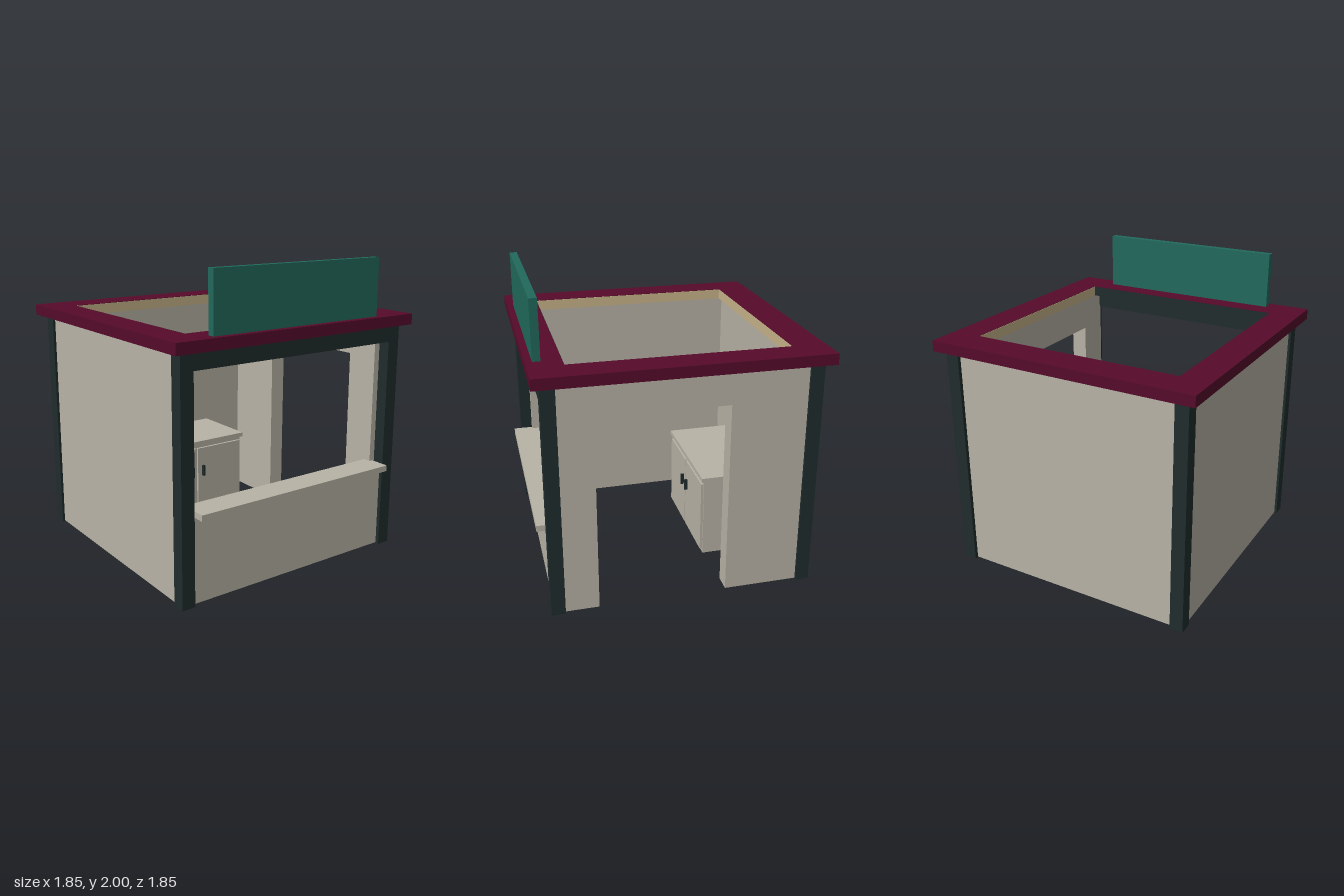
import * as THREE from 'three';

const mat = (name, color) => {
  const m = new THREE.MeshStandardMaterial({ color });
  m.name = name;
  return m;
};

export function createModel() {
  const cream = mat('cream panel', 0xb8b3a6);
  const dark = mat('dark frame', 0x202c2c);
  const maroon = mat('maroon roof', 0x560b2b);
  const teal = mat('teal sign', 0x21695c);
  const tan = mat('tan lining', 0xc8b48a);

  const kiosk = new THREE.Group();
  kiosk.name = 'kiosk';

  // Box given by its extents along each axis
  const box = (name, material, [x0, x1], [y0, y1], [z0, z1], parent = kiosk) => {
    const mesh = new THREE.Mesh(new THREE.BoxGeometry(x1 - x0, y1 - y0, z1 - z0), material);
    mesh.position.set((x0 + x1) / 2, (y0 + y1) / 2, (z0 + z1) / 2);
    mesh.name = name;
    parent.add(mesh);
    return mesh;
  };

  const outer = 0.845, inner = 0.73, top = 1.55;

  // Corner posts and front header
  for (const x of [-0.817, 0.817])
    for (const z of [-0.825, 0.825])
      box('cornerPost', dark, [x - 0.045, x + 0.045], [0, top], [z - 0.045, z + 0.045]);
  box('frontHeader', dark, [-0.772, 0.772], [1.44, top], [0.78, 0.87]);

  // Solid walls
  box('backWall', cream, [-0.79, 0.79], [0.005, top], [-outer, -inner]);
  box('leftOfEntryWall', cream, [-outer, -inner], [0.005, top], [-0.79, 0.79]);
  box('frontLowWall', cream, [-0.79, 0.79], [0.005, 0.56], [inner, outer]);
  box('servingShelf', cream, [-0.757, 0.757], [0.56, 0.60], [0.74, 0.925]);

  // Side wall with the doorway
  const doorway = new THREE.Group();
  doorway.name = 'doorwayWall';
  kiosk.add(doorway);
  box('frontJamb', cream, [inner, outer], [0.005, top], [0.56, 0.79], doorway);
  box('backJamb', cream, [inner, outer], [0.005, top], [-0.79, -0.285], doorway);
  box('lintel', cream, [inner, outer], [1.32, top], [-0.285, 0.56], doorway);

  // Roof ring, open in the middle
  const ring = new THREE.Shape();
  ring.moveTo(-0.923, -0.923).lineTo(0.923, -0.923).lineTo(0.923, 0.923).lineTo(-0.923, 0.923).closePath();
  const hole = new THREE.Path();
  hole.moveTo(-0.72, -0.705).lineTo(-0.72, 0.705).lineTo(0.725, 0.705).lineTo(0.725, -0.705).closePath();
  ring.holes.push(hole);
  const ringGeometry = new THREE.ExtrudeGeometry(ring, { depth: 0.072, bevelEnabled: false });
  ringGeometry.rotateX(-Math.PI / 2);
  const roof = new THREE.Mesh(ringGeometry, maroon);
  roof.position.y = top;
  roof.name = 'roofRing';
  kiosk.add(roof);

  // Lining inside the roof opening
  const lining = [1.55, 1.619];
  box('backLining', tan, [-0.72, 0.725], lining, [-0.706, -0.702]);
  box('leftLining', tan, [0.722, 0.726], lining, [-0.703, 0.703]);
  box('rightLining', tan, [-0.721, -0.717], lining, [-0.703, 0.703]);
  box('frontLining', dark, [-0.717, 0.722], lining, [0.702, 0.706]);

  // Sign board standing on the roof edge
  box('signBoard', teal, [-0.645, 0.635], [1.62, 2], [0.83, 0.88]);

  // Cabinet against the back wall
  const cabinet = new THREE.Group();
  cabinet.name = 'cabinet';
  kiosk.add(cabinet);
  box('cabinetBody', cream, [-0.4, 0.4], [0.005, 0.575], [-0.735, -0.265], cabinet);
  box('cabinetTop', cream, [-0.415, 0.415], [0.575, 0.605], [-0.735, -0.245], cabinet);
  for (const s of [-1, 1]) {
    const span = (a, b) => (s > 0 ? [a, b] : [-b, -a]);
    box('cabinetDoor', cream, span(0.005, 0.39), [0.035, 0.55], [-0.265, -0.247], cabinet);
    box('doorHandle', dark, span(0.04, 0.055), [0.335, 0.415], [-0.247, -0.225], cabinet);
  }

  return kiosk;
}
